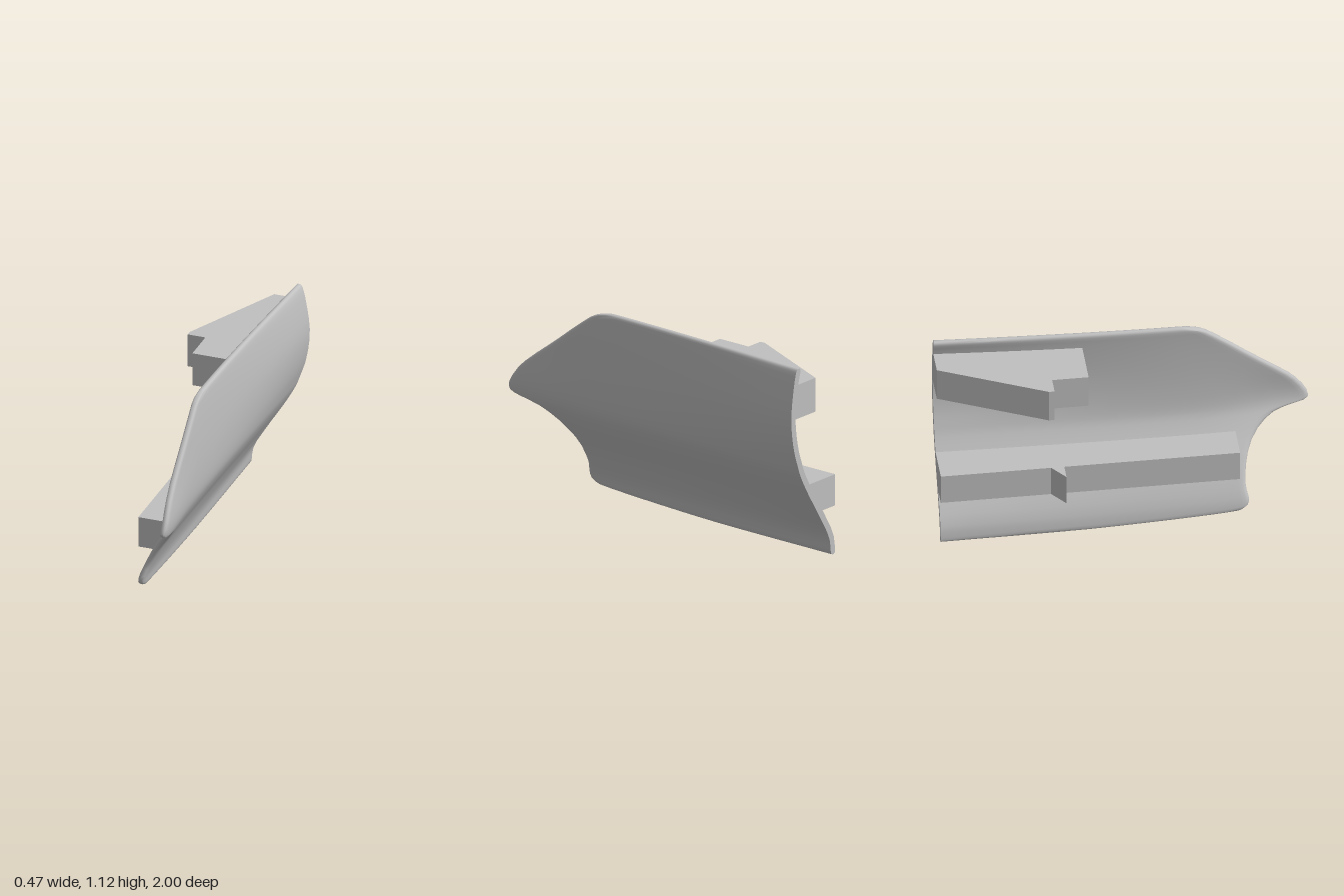
import * as THREE from 'three';
import { toCreasedNormals } from 'three/addons/utils/BufferGeometryUtils.js';

// Smooth curve through [position, value] points
function smooth(points) {
  const last = points.length - 1;
  const slope = i => {
    const a = points[Math.max(i - 1, 0)], b = points[Math.min(i + 1, last)];
    return (b[1] - a[1]) / (b[0] - a[0]);
  };
  return p => {
    p = THREE.MathUtils.clamp(p, points[0][0], points[last][0]);
    let i = 0;
    while (i < last - 1 && p > points[i + 1][0]) i++;
    const [p0, v0] = points[i], [p1, v1] = points[i + 1];
    const d = p1 - p0, t = (p - p0) / d, t2 = t * t, t3 = t2 * t;
    return (2 * t3 - 3 * t2 + 1) * v0 + (t3 - 2 * t2 + t) * d * slope(i)
      + (3 * t2 - 2 * t3) * v1 + (t3 - t2) * d * slope(i + 1);
  };
}

const HEIGHT = 1.12, HALF = 0.018;

// Outer face profiles (height -> x) at the front and at the back
const frontProfile = smooth([[0, -0.1], [0.1, -0.085], [0.2, -0.045], [0.3, 0.005], [0.4, 0.07],
  [0.5, 0.122], [0.56, 0.14], [0.65, 0.149], [0.8, 0.152], [1, 0.145], [1.12, 0.135]]);
const backProfile = smooth([[0, -0.1], [0.1, -0.085], [0.2, -0.03], [0.3, 0.032], [0.4, 0.095],
  [0.5, 0.15], [0.56, 0.174], [0.68, 0.212], [0.85, 0.232], [1.05, 0.205], [1.12, 0.185]]);
// Front outline (height -> z) and rise of the bottom edge (z -> y)
const frontEdge = smooth([[0, 0.6], [0.03, 0.643], [0.09, 0.65], [0.14, 0.64], [0.22, 0.638],
  [0.33, 0.66], [0.43, 0.72], [0.5, 0.81], [0.53, 0.9], [0.55, 0.975], [0.58, 1], [0.65, 0.97],
  [0.74, 0.895], [0.9, 0.69], [1.05, 0.5], [1.1, 0.42], [1.12, 0.33]]);
const bottomRise = smooth([[-1, 0], [-0.2, 0.005], [0.2, 0.02], [0.5, 0.037], [0.65, 0.052]]);

function outerX(y, z) {
  const back = Math.pow(THREE.MathUtils.clamp((0.3 - z) / 1.3, 0, 1), 1.5);
  const tip = 0.025 * THREE.MathUtils.smoothstep(z, 0.45, 0.95) * Math.exp(-(((y - 0.6) / 0.16) ** 2));
  return THREE.MathUtils.lerp(frontProfile(y), backProfile(y), back) + tip;
}

// Point on the panel, offset from its middle layer by a signed distance
function panelPoint(y, z, offset) {
  const s = (outerX(y + 0.01, z) - outerX(y - 0.01, z)) / 0.02;
  const k = (offset - HALF) / Math.hypot(1, s);
  return [outerX(y, z) + k, y - s * k, z];
}

function panelGeometry() {
  const rows = [0, 0.005, 0.013, 0.03, 0.06, 0.09, 0.14, 0.18, 0.22, 0.275, 0.33, 0.38, 0.43, 0.47,
    0.5, 0.515, 0.53, 0.54, 0.55, 0.565, 0.58, 0.61, 0.65, 0.7, 0.74, 0.8, 0.86, 0.92, 0.98,
    1.05, 1.08, 1.1, 1.11, 1.116, 1.12];
  const cols = [0, 0.1, 0.2, 0.3, 0.4, 0.5, 0.6, 0.7, 0.78, 0.85, 0.91, 0.95, 0.975, 0.988, 0.996, 1];
  const n = rows.length, ring = 2 * n, pos = [], index = [];
  const round = d => 0.35 + 0.65 * Math.sqrt(1 - (1 - Math.min(d, 1)) ** 2);

  // One closed ring per column: up the outer face, down the inner face
  for (const u of cols) {
    for (let k = 0; k < ring; k++) {
      const raw = rows[k < n ? k : ring - 1 - k];
      const span = frontEdge(raw) + 1, z = -1 + span * u;
      const y = raw + bottomRise(z) * Math.max(0, 1 - raw / 0.2);
      const h = HALF * round(raw / 0.02) * round((HEIGHT - raw) / 0.02) * round((1 - u) * span / 0.03);
      pos.push(...panelPoint(y, z, k < n ? h : -h));
    }
  }
  const quad = (a, b, c, d) => index.push(a, b, c, b, d, c);
  for (let j = 0; j < cols.length - 1; j++) {
    for (let k = 0; k < ring; k++) {
      const a = j * ring + k, b = j * ring + (k + 1) % ring;
      quad(a, b, a + ring, b + ring);
    }
  }
  // Back and front ends
  const end = (cols.length - 1) * ring;
  for (let i = 0; i < n - 1; i++) {
    const inner = ring - 1 - i;
    quad(i, inner, i + 1, inner - 1);
    quad(end + i, end + i + 1, end + inner, end + inner - 1);
  }
  const g = new THREE.BufferGeometry();
  g.setAttribute('position', new THREE.Float32BufferAttribute(pos, 3));
  g.setIndex(index);
  return toCreasedNormals(g, 0.8);
}

// Block from a plan outline of [x, z]; corners with x > 0.1 are moved into the panel
function blockGeometry(plan, bottom, top) {
  const shape = new THREE.Shape(plan.map(([x, z]) => new THREE.Vector2(x, -z)));
  const g = new THREE.ExtrudeGeometry(shape, { depth: top - bottom, bevelEnabled: false });
  g.rotateX(-Math.PI / 2).translate(0, bottom, 0);
  const p = g.attributes.position;
  for (let i = 0; i < p.count; i++) {
    if (p.getX(i) > 0.1) p.setX(i, outerX(p.getY(i), p.getZ(i)) - 0.022);
  }
  const flat = g.toNonIndexed ? (g.index ? g.toNonIndexed() : g) : g;
  flat.computeVertexNormals();
  return flat;
}

export function createModel() {
  const grey = new THREE.MeshStandardMaterial({ color: 0xc0c0c0 });
  grey.name = 'light grey';
  const model = new THREE.Group();
  model.name = 'curvedSidePanel';
  const add = (name, geometry) => {
    const mesh = new THREE.Mesh(geometry, grey);
    mesh.name = name;
    model.add(mesh);
  };

  add('panel', panelGeometry());
  // Short upper clip with a slanted back and a hooked step
  add('upperClip', blockGeometry([[0.15, -1], [0.15, -0.21], [-0.135, -0.21], [-0.135, -0.405],
    [-0.235, -0.405], [-0.235, -0.435], [0.03, -1]], 0.84, 1.03));
  // Long lower rail with a small catch
  add('lowerRail', blockGeometry([[0.15, -1], [0.15, -0.2], [0.15, 0.2], [0.15, 0.6], [-0.135, 0.6],
    [-0.135, -0.34], [-0.225, -0.34], [-0.135, -0.41], [-0.135, -1]], 0.27, 0.445));
  return model;
}
